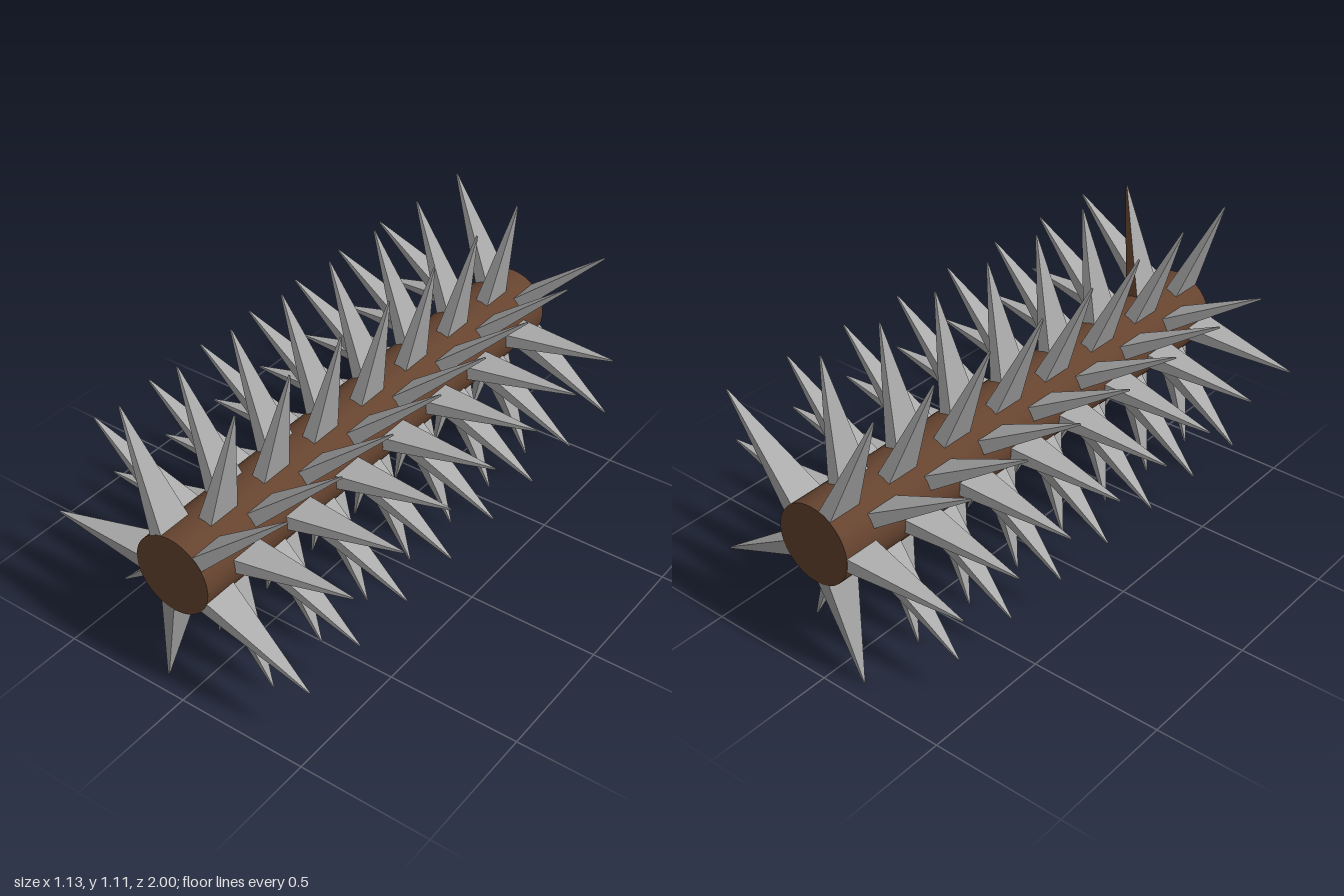
import * as THREE from 'three';

const CENTER_Y = 0.557, CORE_R = 0.148, TIP_R = 0.567, BASE_R = 0.138;
const RINGS = 15, PITCH = 2 / RINGS;

// Slim four-sided blade: a box squeezed almost to a point at its outer end.
function makeSpikeGeometry() {
  const geo = new THREE.BoxGeometry(0.053, TIP_R - BASE_R, PITCH);
  geo.translate(0, (TIP_R + BASE_R) / 2, 0);
  const p = geo.attributes.position;
  for (let i = 0; i < p.count; i++) {
    if (p.getY(i) > 0.4) {
      p.setX(i, p.getX(i) * 0.12);
      p.setZ(i, p.getZ(i) * 0.02);
    }
  }
  geo.computeVertexNormals();
  return geo;
}

export function createModel() {
  const model = new THREE.Group();
  model.name = 'spikedRoller';

  const wood = new THREE.MeshStandardMaterial({ color: 0x65432f });
  wood.name = 'brown wood';
  const steel = new THREE.MeshStandardMaterial({ color: 0xaaaaaa });
  steel.name = 'grey steel';

  // Round core lying along z
  const core = new THREE.Mesh(new THREE.CylinderGeometry(CORE_R, CORE_R, 2, 32), wood);
  core.name = 'core';
  core.rotation.x = Math.PI / 2;
  core.position.y = CENTER_Y;
  model.add(core);

  // Rings of five spikes, every other ring turned by half a step
  const spikeGeo = makeSpikeGeometry();
  for (let r = 0; r < RINGS; r++) {
    const ring = new THREE.Group();
    ring.name = 'spikeRing' + (r + 1);
    ring.position.set(0, CENTER_Y, 1 - (r + 0.5) * PITCH);
    for (let k = 0; k < 5; k++) {
      const angle = (r % 2 ? 5.7 : 41.7) + 72 * k;
      // A single spike near the front has a brown rear face
      const stained = r === 1 && k === 1;
      const spike = new THREE.Mesh(spikeGeo, stained ? [steel, steel, steel, steel, steel, wood] : steel);
      spike.name = 'spike';
      spike.rotation.z = THREE.MathUtils.degToRad(angle - 90);
      ring.add(spike);
    }
    model.add(ring);
  }
  return model;
}
